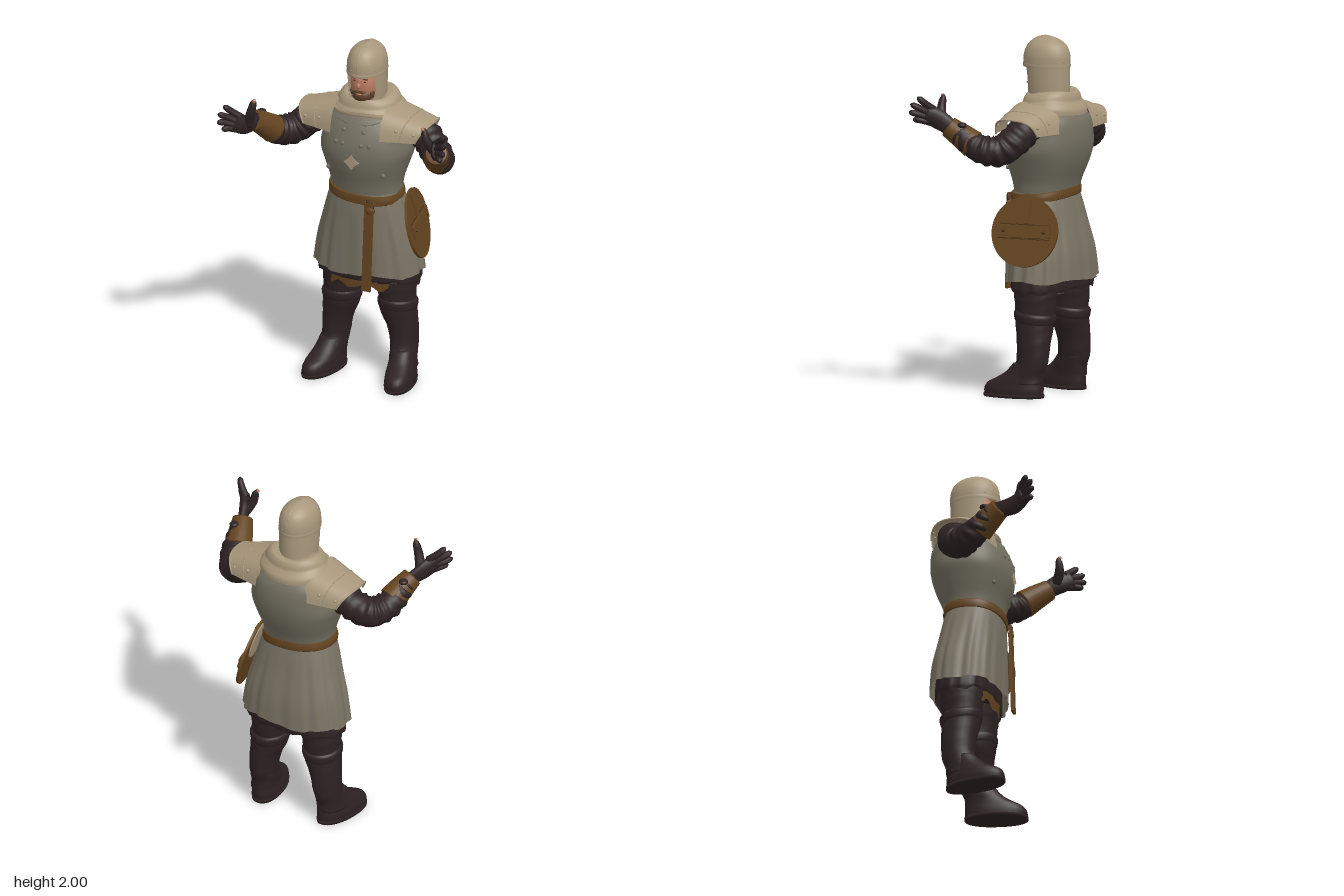
import * as THREE from 'three';

const mat = (name, color, side = THREE.FrontSide) => {
  const m = new THREE.MeshStandardMaterial({ color, side });
  m.name = name;
  return m;
};
const V = (x, y, z) => new THREE.Vector3(x, y, z);

// Skin a stack of point rings; rings wind counter-clockwise about the stacking direction
function skin(rings, closed = true, caps = true) {
  const n = rings[0].length, pos = [], idx = [];
  rings.forEach(r => r.forEach(p => pos.push(p.x, p.y, p.z)));
  for (let i = 0; i < rings.length - 1; i++)
    for (let j = 0; j < (closed ? n : n - 1); j++) {
      const a = i * n + j, b = i * n + (j + 1) % n;
      idx.push(a, b, b + n, a, b + n, a + n);
    }
  if (closed && caps) [0, rings.length - 1].forEach((i, top) => {
    const c = rings[i].reduce((s, p) => s.add(p), V(0, 0, 0)).divideScalar(n), ci = pos.length / 3;
    pos.push(c.x, c.y, c.z);
    for (let j = 0; j < n; j++) {
      const a = i * n + j, b = i * n + (j + 1) % n;
      idx.push(ci, top ? a : b, top ? b : a);
    }
  });
  const g = new THREE.BufferGeometry();
  g.setAttribute('position', new THREE.Float32BufferAttribute(pos, 3));
  g.setIndex(idx);
  g.computeVertexNormals();
  return g;
}

// Catmull-Rom subdivision of number rows
function smooth(rows, k) {
  const out = [];
  for (let i = 0; i < rows.length - 1; i++)
    for (let s = 0; s < k; s++) {
      const t = s / k, [a, b, c, d] = [-1, 0, 1, 2].map(o => rows[Math.min(rows.length - 1, Math.max(0, i + o))]);
      out.push(b.map((v, q) => v + 0.5 * t * (c[q] - a[q] + t * (2 * a[q] - 5 * v + 4 * c[q] - d[q] + t * (3 * (v - c[q]) + d[q] - a[q])))));
    }
  out.push(rows[rows.length - 1]);
  return out;
}
const sp = (v, p) => Math.sign(v) * Math.abs(v) ** (2 / p);

// Horizontal cross-sections, bottom up: [y, centre x, half width, front z, back z, front gap angle]
function stack(rows, { n = 40, k = 4, p = 2, ripple = () => 1, lift = () => 0, gap = false, caps = true, shear = 0 } = {}) {
  const rings = smooth(rows, k).map(([y, cx, rx, zf, zb, g = 0]) => Array.from({ length: n }, (_, j) => {
    const t = gap ? g + j / (n - 1) * (Math.PI * 2 - 2 * g) : j / n * Math.PI * 2, f = ripple(t, y);
    const z = (zf + zb) / 2 + (zf - zb) / 2 * sp(Math.cos(t), p) * f;
    return V(cx + rx * sp(Math.sin(t), p) * f + shear * (z + 0.15), y + lift(t, y), z);
  }));
  return skin(rings, !gap, caps);
}

// Tapered limb along a curve; flat scales the radius along ref
function limb(pts, radii, { n = 16, steps = 20, flat = 1, ref = V(0.1, 0.2, 1), ripple = 0, waves = 9, round = false } = {}) {
  const curve = new THREE.CatmullRomCurve3(pts), rings = [];
  for (let i = 0; i <= steps; i++) {
    const u = i / steps, c = curve.getPoint(u), T = curve.getTangent(u);
    const U = T.clone().cross(ref).normalize(), W = U.clone().cross(T);
    const q = u * (radii.length - 1), a = Math.min(radii.length - 2, Math.floor(q));
    let r = THREE.MathUtils.lerp(radii[a], radii[a + 1], q - a);
    if (round) r *= Math.sqrt(Math.max(0.08, 1 - Math.max(0, (u - 0.75) / 0.25) ** 2));
    rings.push(Array.from({ length: n }, (_, j) => {
      const t = j / n * Math.PI * 2, w = r + ripple * Math.sin(u * waves * Math.PI * 2 + 1.5 * Math.sin(2 * t)) * Math.sin(t + u * 9);
      return c.clone().addScaledVector(U, w * Math.sin(t)).addScaledVector(W, w * flat * Math.cos(t));
    }));
  }
  return skin(rings);
}

export function createModel() {
  const steel = mat('pale cloth and steel', 0xa8977b, THREE.DoubleSide);
  const plate = mat('grey breastplate', 0x736f61, THREE.DoubleSide);
  const cloth = mat('grey tunic', 0x7a7364, THREE.DoubleSide);
  const leather = mat('brown leather', 0x644420, THREE.DoubleSide);
  const strapMat = mat('dark brown leather', 0x463018);
  const dark = mat('dark padding', 0x2e2223, THREE.DoubleSide);
  const flesh = mat('skin', 0xb87a62);
  const hair = mat('beard hair', 0x5c4029);
  const root = new THREE.Group();
  const add = (name, geo, m, x = 0, y = 0, z = 0, parent = root) => {
    const o = new THREE.Mesh(geo, m);
    o.name = name;
    o.position.set(x, y, z);
    parent.add(o);
    return o;
  };
  const ball = (name, m, x, y, z, a, b, c) => add(name, new THREE.SphereGeometry(1, 20, 14), m, x, y, z).scale.set(a, b, c);

  // Tunic skirt and layers beneath
  add('skirt', stack([[0.65, 0, 0.317, 0.035, -0.37], [0.8, 0, 0.293, 0.035, -0.36], [0.95, 0, 0.254, 0.035, -0.33], [1.06, 0, 0.224, 0.035, -0.308], [1.14, 0, 0.198, 0.03, -0.29]],
    { n: 120, p: 2.3, caps: false, lift: (t, y) => y < 0.7 ? 0.008 * Math.sin(5 * t) : 0,
      ripple: (t, y) => 1 + Math.min(1.14 - y, 0.3) * (0.06 * Math.sin(13 * t + 1 + 2 * Math.sin(t)) + 0.04 * Math.sin(23 * t)) }), cloth);
  add('underTunic', stack([[0.575, 0, 0.295, -0.005, -0.335], [0.62, 0, 0.3, 0, -0.34], [0.72, 0, 0.28, 0, -0.335]],
    { n: 72, p: 2.3, caps: false, ripple: t => 1 + 0.015 * Math.sin(17 * t), lift: (t, y) => y < 0.6 ? 0.035 * Math.max(0, Math.cos(t)) + 0.02 * Math.max(0, -Math.cos(t)) + 0.008 * Math.sin(11 * t) : 0 }), dark);
  add('leatherHem', stack([[0.56, 0, 0.22, -0.02, -0.2], [0.7, 0, 0.23, -0.015, -0.2]],
    { n: 60, p: 2.6, caps: false, lift: (t, y) => y < 0.6 ? 0.016 * Math.sin(9 * t) + (Math.cos(t) < 0 ? 0.06 : 0) : 0 }), leather);
  add('innerFlap', new THREE.BoxGeometry(0.13, 0.13, 0.02), cloth, 0, 0.62, -0.2);
  add('hips', stack([[0.64, 0, 0.2, -0.05, -0.28], [0.8, 0, 0.22, -0.02, -0.3]]), dark);

  // Breastplate with a slight central keel
  const chest = [[1.13, 0, 0.2, 0.025, -0.29], [1.2, 0, 0.208, 0.04, -0.31], [1.3, 0, 0.24, 0.07, -0.35], [1.38, 0, 0.262, 0.08, -0.37], [1.46, 0, 0.25, 0.07, -0.375],
    [1.54, 0, 0.235, 0.035, -0.36], [1.6, 0, 0.185, -0.012, -0.315], [1.65, 0, 0.1, -0.06, -0.27]];
  add('breastplate', stack(chest, { n: 64, k: 5, p: 2.3, ripple: t => 1 + 0.03 * Math.max(0, Math.cos(t)) ** 30 }), plate);
  const fine = smooth(chest, 8);
  const frontZ = (x, y) => {
    const r = fine.reduce((a, b) => Math.abs(b[0] - y) < Math.abs(a[0] - y) ? b : a);
    return (r[3] + r[4]) / 2 + (r[3] - r[4]) / 2 * (1 - Math.abs(x / r[2]) ** 2.3) ** (1 / 2.3);
  };
  [[0.1, 1.45], [0.055, 1.45], [0.06, 1.52], [0.165, 1.27]].forEach(([x, y]) => [-1, 1].forEach(s =>
    ball('breastRivet', plate, s * x, y, frontZ(x, y), 0.014, 0.014, 0.01)));
  const star = new THREE.Shape();
  for (let i = 0; i < 8; i++) {
    const r = i % 2 ? 0.028 : 0.046, a = i * Math.PI / 4;
    star[i ? 'lineTo' : 'moveTo'](r * Math.sin(a), r * Math.cos(a));
  }
  add('chestOrnament', new THREE.ExtrudeGeometry(star, { depth: 0.008, bevelEnabled: false }), steel, 0.005, 1.35, 0.082);
  const seam = (name, pts, r, m) => add(name, new THREE.TubeGeometry(new THREE.CatmullRomCurve3(pts), 40, r, 6), m);
  seam('neckTrim', Array.from({ length: 13 }, (_, i) => {
    const x = (i - 6) * 0.022, y = 1.555 + 0.02 * Math.abs(x / 0.132) ** 3;
    return V(x, y, frontZ(x, y) + 0.002);
  }), 0.004, plate);

  // Belt with hanging tongue
  const sag = t => -0.012 * Math.cos(t) - 0.018 * Math.sin(t);
  add('belt', stack([[1.1, 0, 0.212, 0.042, -0.302], [1.125, 0, 0.213, 0.044, -0.303], [1.15, 0, 0.206, 0.042, -0.299]], { n: 56, p: 2.3, lift: sag }), leather);
  add('beltTongue', new THREE.BoxGeometry(0.052, 0.53, 0.016), leather, 0.09, 0.845, 0.055).rotation.set(-0.035, 0, -0.02);
  add('buckle', new THREE.TorusGeometry(0.026, 0.008, 8, 4), strapMat, 0.1, 1.095, 0.046).rotation.z = Math.PI / 4;
  ball('beltKnot', leather, 0.1, 1.06, 0.046, 0.03, 0.025, 0.016);

  // Round shield on the left hip, grip side out
  const shield = new THREE.Group();
  shield.name = 'shield';
  const nrm = V(0.95, 0.24, -0.19).normalize(), side = V(0, 1, 0).cross(nrm).normalize();
  shield.quaternion.setFromRotationMatrix(new THREE.Matrix4().makeBasis(side, nrm.clone().cross(side), nrm));
  shield.position.set(0.285, 0.935, -0.178);
  root.add(shield);
  add('shieldBoard', new THREE.CylinderGeometry(0.197, 0.197, 0.014, 48).rotateX(Math.PI / 2), leather, 0, 0, 0, shield);
  add('shieldBoss', new THREE.CylinderGeometry(0.1, 0.105, 0.006, 40).rotateX(-Math.PI / 2), steel, 0, 0.08, -0.01, shield);
  add('grip', new THREE.BoxGeometry(0.31, 0.07, 0.02), leather, 0, 0, 0.015, shield).rotation.z = 0.03;
  [-0.12, 0.12].forEach(x => add('gripStud', new THREE.SphereGeometry(0.01, 10, 8), strapMat, x, 0, 0.025, shield));
  [-0.04, 0.04].forEach(y => add('gripEdge', new THREE.BoxGeometry(0.3, 0.005, 0.006), strapMat, 0, y, 0.008, shield));
  add('shieldStrap', new THREE.BoxGeometry(0.045, 0.13, 0.012), leather, 0, 0.11, 0.01, shield);

  // Hood collar in soft rolls
  add('collar', stack([[1.575, 0, 0.212, 0.006, -0.35], [1.605, 0, 0.21, 0.01, -0.348], [1.635, 0, 0.19, -0.004, -0.328], [1.648, 0, 0.178, -0.014, -0.32],
    [1.675, 0, 0.165, -0.022, -0.315], [1.698, 0, 0.135, -0.037, -0.3], [1.69, 0, 0.1, -0.05, -0.26]],
    { n: 56, k: 4, caps: false, p: 2.1, lift: (t, y) => Math.max(0, Math.cos(t)) * (y > 1.62 ? -0.022 : y < 1.59 ? 0.012 : 0) + 0.006 * Math.sin(3 * t + 1) }), steel);
  add('coif', stack([[1.6, 0, 0.115, -0.02, -0.275, 0.03], [1.645, 0, 0.1, -0.025, -0.265, 0.25], [1.68, 0, 0.102, -0.02, -0.268, 0.75], [1.75, 0, 0.105, -0.01, -0.27, 0.92], [1.84, 0, 0.107, 0, -0.27, 0.88]],
    { gap: true }), steel);

  // Helmet
  add('helmet', stack([[1.83, 0, 0.108, 0.006, -0.272], [1.89, 0, 0.106, 0.004, -0.272], [1.94, 0, 0.09, -0.015, -0.255], [1.97, 0, 0.064, -0.045, -0.222], [1.987, 0, 0.035, -0.08, -0.185], [1.997, 0, 0.008, -0.12, -0.145]],
    { caps: false }), steel);
  add('helmetRim', stack([[1.825, 0, 0.109, 0.008, -0.273], [1.835, 0, 0.11, 0.009, -0.274], [1.846, 0, 0.109, 0.007, -0.273]], { caps: false }), steel);
  seam('helmetRidge', [V(0, 1.84, 0.003), V(0, 1.89, 0.001), V(0, 1.94, -0.018), V(0, 1.975, -0.057), V(0, 1.995, -0.13), V(0, 1.973, -0.213), V(0, 1.94, -0.253), V(0, 1.86, -0.27)], 0.005, steel);
  for (let i = 0; i < 10; i++) {
    const t = i / 10 * Math.PI * 2 + 0.3;
    ball('helmetRivet', steel, 0.107 * Math.sin(t), 1.862, -0.133 + 0.139 * Math.cos(t), 0.004, 0.004, 0.004);
  }

  // Face and beard
  ball('head', flesh, 0, 1.765, -0.115, 0.085, 0.115, 0.092);
  ball('nose', flesh, 0, 1.768, -0.02, 0.011, 0.016, 0.016);
  ball('noseBridge', flesh, 0, 1.79, -0.026, 0.008, 0.025, 0.01);
  ball('beard', hair, 0, 1.7, -0.07, 0.058, 0.043, 0.05);
  ball('mouth', flesh, 0, 1.717, -0.021, 0.016, 0.005, 0.005);
  [-1, 1].forEach(s => {
    ball('moustache', hair, s * 0.018, 1.732, -0.026, 0.022, 0.006, 0.009);
    ball('sideburn', hair, s * 0.06, 1.715, -0.07, 0.012, 0.024, 0.02);
    ball('eye', strapMat, s * 0.031, 1.792, -0.032, 0.009, 0.003, 0.004);
    ball('eyebrow', hair, s * 0.033, 1.808, -0.035, 0.018, 0.004, 0.007);
  });

  [1, -1].forEach(s => {
    // Legs and boots
    add('thigh', stack([[0.4, s * 0.172, 0.098, -0.065, -0.27], [0.52, s * 0.165, 0.107, -0.05, -0.285], [0.6, s * 0.155, 0.12, -0.04, -0.29], [0.74, s * 0.13, 0.125, -0.03, -0.3]],
      { n: 28, ripple: (t, y) => 1 + 0.015 * Math.sin(y * 90 + 3 * Math.sin(t)) }), dark);
    add('bootShaft', stack([[0.08, s * 0.222, 0.074, -0.03, -0.24], [0.13, s * 0.215, 0.073, -0.04, -0.245], [0.2, s * 0.208, 0.076, -0.08, -0.268], [0.3, s * 0.198, 0.085, -0.08, -0.275],
      [0.4, s * 0.174, 0.104, -0.062, -0.278], [0.45, s * 0.171, 0.106, -0.055, -0.282]], { n: 28, ripple: (t, y) => 1 + 0.01 * Math.sin(y * 80 + 3 * Math.sin(t)) }), dark);
    add('bootCuff', stack([[0.415, s * 0.173, 0.102, -0.06, -0.277], [0.43, s * 0.171, 0.11, -0.052, -0.286], [0.46, s * 0.17, 0.112, -0.048, -0.29], [0.475, s * 0.168, 0.104, -0.055, -0.28]],
      { n: 28, lift: t => 0.012 * Math.cos(t) }), dark);
    add('foot', stack([[0.012, s * 0.222, 0.08, 0.098, -0.24], [0.045, s * 0.222, 0.082, 0.1, -0.242], [0.078, s * 0.22, 0.078, 0.08, -0.24], [0.105, s * 0.218, 0.075, 0.03, -0.24], [0.14, s * 0.214, 0.072, -0.025, -0.24],
      [0.19, s * 0.209, 0.07, -0.07, -0.25]], { n: 32, p: 2.2, shear: s * 0.15 }), dark);
    add('sole', stack([[0, s * 0.222, 0.083, 0.103, -0.244], [0.018, s * 0.222, 0.085, 0.105, -0.246]], { n: 32, k: 1, p: 2.2, shear: s * 0.15 }), dark);

    // Shoulder plate arched front to back
    const padPoint = (u, v) => V(s * (0.15 + (0.25 * u) * (1 - 0.24 * v * v)),
      1.645 - 0.075 * u - (0.165 - 0.075 * u) * Math.abs(v) ** 2.8, -0.15 - 0.01 * u + (0.185 - 0.045 * u) * Math.sin(v * 1.4));
    const strip = Array.from({ length: 25 }, (_, i) => (i - 12) / 12);
    add('shoulderPlate', skin(Array.from({ length: 9 }, (_, i) => strip.map(v => padPoint(i / 8, v * s))), false), steel);
    seam('shoulderTrim', strip.map(v => padPoint(1, v)), 0.005, steel);
    seam('shoulderSeam', strip.map(v => padPoint(0.55, v)), 0.003, steel);
    [[0.4, 0.8], [0.85, 0.8], [0.4, -0.8], [0.85, -0.8]].forEach(([u, v]) => {
      const p = padPoint(u, v);
      ball('shoulderRivet', steel, p.x, p.y, p.z, 0.009, 0.009, 0.009);
    });

    // Sleeve and bracer
    const P = (x, y, z) => V(s * x, y, z), across = P(0.3, 1, 0.2);
    add('sleeve', limb([P(0.24, 1.53, -0.18), P(0.35, 1.465, -0.17), P(0.44, 1.4, -0.11), P(0.5, 1.415, -0.02), P(0.54, 1.49, 0.09), P(0.56, 1.53, 0.15)],
      [0.082, 0.088, 0.086, 0.078, 0.06, 0.04], { n: 24, steps: 90, ripple: 0.006, waves: 12, ref: across }), dark);
    add('bracer', limb([P(0.505, 1.435, 0.02), P(0.527, 1.48, 0.08), P(0.555, 1.53, 0.15)], [0.079, 0.07, 0.058], { n: 24, ref: across }), leather);
    ball('bracerBuckle', dark, s * 0.555, 1.545, 0.06, 0.026, 0.016, 0.026);

    // Glove: the right hand reaches slightly lower and further forward
    const dy = s > 0 ? 0 : -0.035, dz = s > 0 ? 0 : 0.042, H = (x, y, z) => P(x, y + dy, z + dz), K = (x, y, z) => P(x, y, z + dz);
    add('glovePalm', limb([P(0.55, 1.52, 0.13), H(0.575, 1.568, 0.2), H(0.612, 1.602, 0.262)], [0.045, 0.056, 0.05], { flat: 0.56, ref: P(-0.75, 0.1, 0.6) }), dark);
    [[0.603, 1.635, 0.245, 0.662, 1.697, 0.285], [0.614, 1.614, 0.26, 0.68, 1.658, 0.32], [0.618, 1.592, 0.265, 0.68, 1.612, 0.33], [0.611, 1.566, 0.26, 0.655, 1.568, 0.32]]
      .forEach(([a, b, c, x, y, z]) => add('gloveFinger', limb([H(a - 0.02, b - 0.015, c - 0.02), H((a + x) / 2 + 0.004, (b + y) / 2, (c + z) / 2 - 0.004), H(x, y, z)],
        [0.021, 0.019, 0.016], { n: 10, steps: 12, round: true, ref: P(-0.3, 0.9, -0.3) }), dark));
    add('gloveThumb', limb([H(0.56, 1.565, 0.19), K(0.528, 1.625, 0.215), K(0.508, 1.7, 0.213)], [0.03, 0.025, 0.018], { n: 12, steps: 12, round: true }), dark);
    const tip = K(0.506, 1.694, 0.222);
    ball('thumbTip', flesh, tip.x, tip.y, tip.z, 0.011, 0.011, 0.01);
  });
  return root;
}
